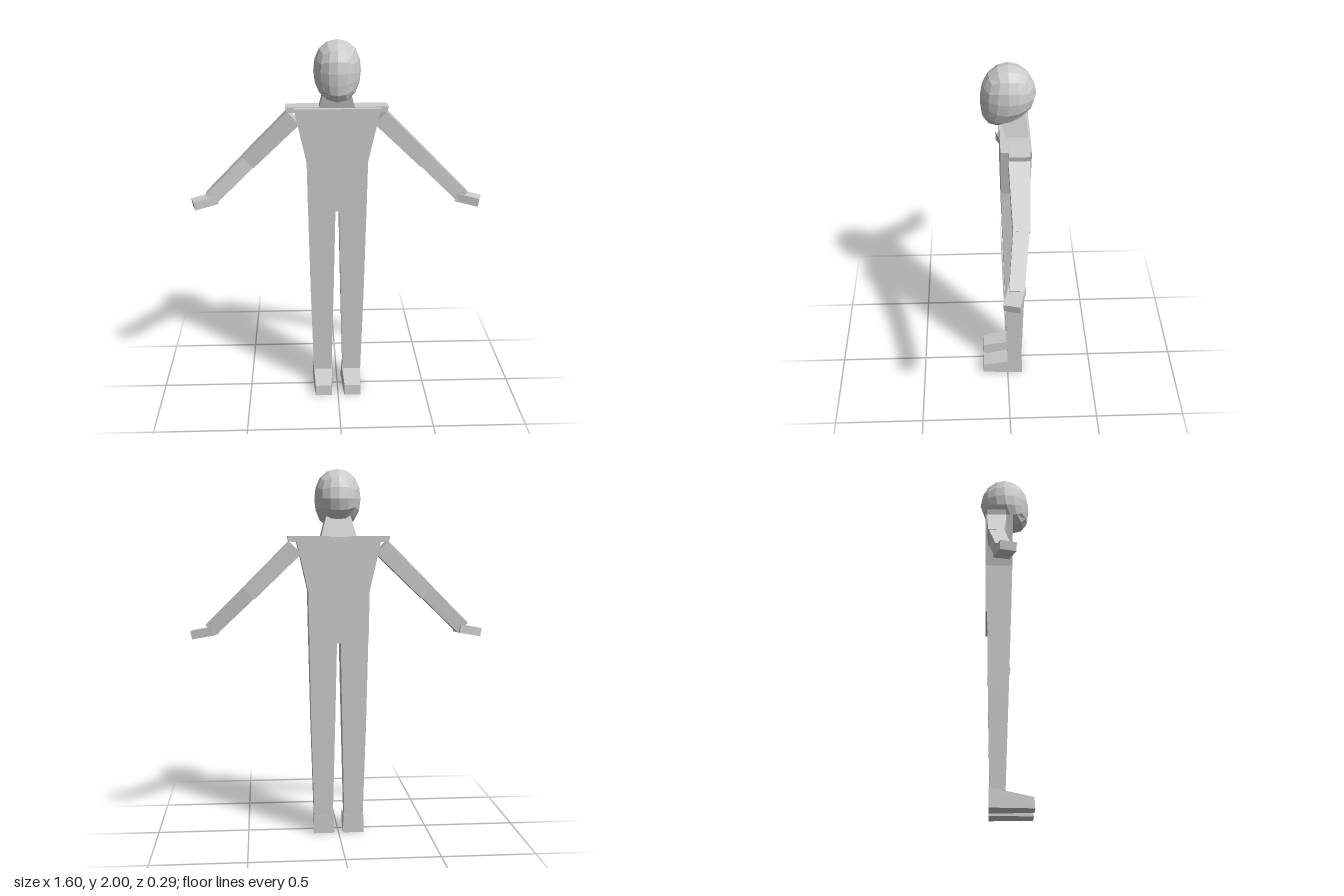
import * as THREE from 'three';
import { ConvexGeometry } from 'three/addons/geometries/ConvexGeometry.js';

const material = new THREE.MeshStandardMaterial({ color: 0xcccccc, flatShading: true });

function addMesh(parent, name, geometry) {
  const mesh = new THREE.Mesh(geometry, material);
  mesh.name = name;
  parent.add(mesh);
  return mesh;
}

// Horizontal rectangle at height y
const level = (y, x0, x1, z0, z1) =>
  [[x0, y, z0], [x1, y, z0], [x1, y, z1], [x0, y, z1]];

// Slanted limb section: an upper and a lower point, spread from z0 to z1
const slant = (xu, yu, xl, yl, z0, z1) =>
  [[xu, yu, z0], [xu, yu, z1], [xl, yl, z0], [xl, yl, z1]];

// Faceted block spanning two four-cornered sections; s = -1 mirrors it
function addBlock(parent, name, a, b, s = 1) {
  const points = [...a, ...b].map(([x, y, z]) => new THREE.Vector3(s * x, y, z));
  return addMesh(parent, name, new ConvexGeometry(points));
}

// Rounded cube, with the chin pushed forward under the face
function headGeometry() {
  const geometry = new THREE.BoxGeometry(2, 2, 2, 4, 4, 4);
  const pos = geometry.attributes.position;
  const v = new THREE.Vector3();
  for (let i = 0; i < pos.count; i++) {
    v.fromBufferAttribute(pos, i);
    // even out the cube grid before rounding it
    v.set(...v.toArray().map((c) => Math.tan(c * Math.PI / 4))).normalize();
    const low = Math.max(0, -v.y);
    pos.setXYZ(i,
      v.x * 0.125 * (1 + 0.14 * v.y * v.y),
      1.84 + v.y * 0.16,
      v.z * 0.14 - 0.005 + 0.065 * low * low);
  }
  geometry.computeVertexNormals();
  return geometry;
}

export function createModel() {
  const model = new THREE.Group();
  model.name = 'figure';

  // Head, neck and trunk
  addMesh(model, 'head', headGeometry());
  addBlock(model, 'neck',
    level(1.62, -0.1, 0.1, -0.11, 0.005), level(1.77, -0.06, 0.06, -0.065, 0.04));
  const waist = level(1.35, -0.165, 0.165, -0.112, 0.037);
  addBlock(model, 'chest', level(1.64, -0.23, 0.23, -0.115, 0.04), waist);
  addBlock(model, 'abdomen', waist, level(1.07, -0.16, 0.16, -0.11, 0.03));

  for (const s of [1, -1]) {
    const side = s > 0 ? 'left' : 'right';

    // Arm
    const arm = new THREE.Group();
    arm.name = side + 'Arm';
    model.add(arm);
    addBlock(arm, 'shoulder',
      slant(0.05, 1.643, 0.05, 1.6, -0.105, 0.0),
      slant(0.275, 1.643, 0.268, 1.615, -0.105, 0.0), s);
    addBlock(arm, 'upperArm',
      slant(0.265, 1.617, 0.2, 1.55, -0.106, 0.003),
      slant(0.512, 1.37, 0.452, 1.308, -0.096, -0.012), s);
    addBlock(arm, 'forearm',
      slant(0.508, 1.372, 0.453, 1.312, -0.093, -0.012),
      slant(0.715, 1.168, 0.662, 1.113, -0.06, 0.015), s);

    // Hand, angled forward and slightly down
    const hand = addMesh(arm, 'hand', new THREE.BoxGeometry(0.13, 0.046, 0.083));
    hand.position.set(s * 0.722, 1.125, -0.013);
    hand.rotation.set(0, -s * 0.26, -s * 0.19);

    // Leg
    const leg = new THREE.Group();
    leg.name = side + 'Leg';
    model.add(leg);
    const knee = level(0.6, 0.02, 0.15, -0.092, 0.016);
    addBlock(leg, 'thigh', level(1.08, 0.01, 0.16, -0.1, 0.03), knee, s);
    addBlock(leg, 'shin', knee, level(0.09, 0.032, 0.135, -0.08, 0.0), s);

    // Foot, tapering from heel to toe
    addBlock(leg, 'foot',
      [[0.024, 0, -0.085], [0.141, 0, -0.085], [0.138, 0.105, -0.085], [0.027, 0.105, -0.085]],
      [[0.035, 0, 0.147], [0.129, 0, 0.147], [0.127, 0.058, 0.143], [0.037, 0.058, 0.143]], s);
  }
  return model;
}
